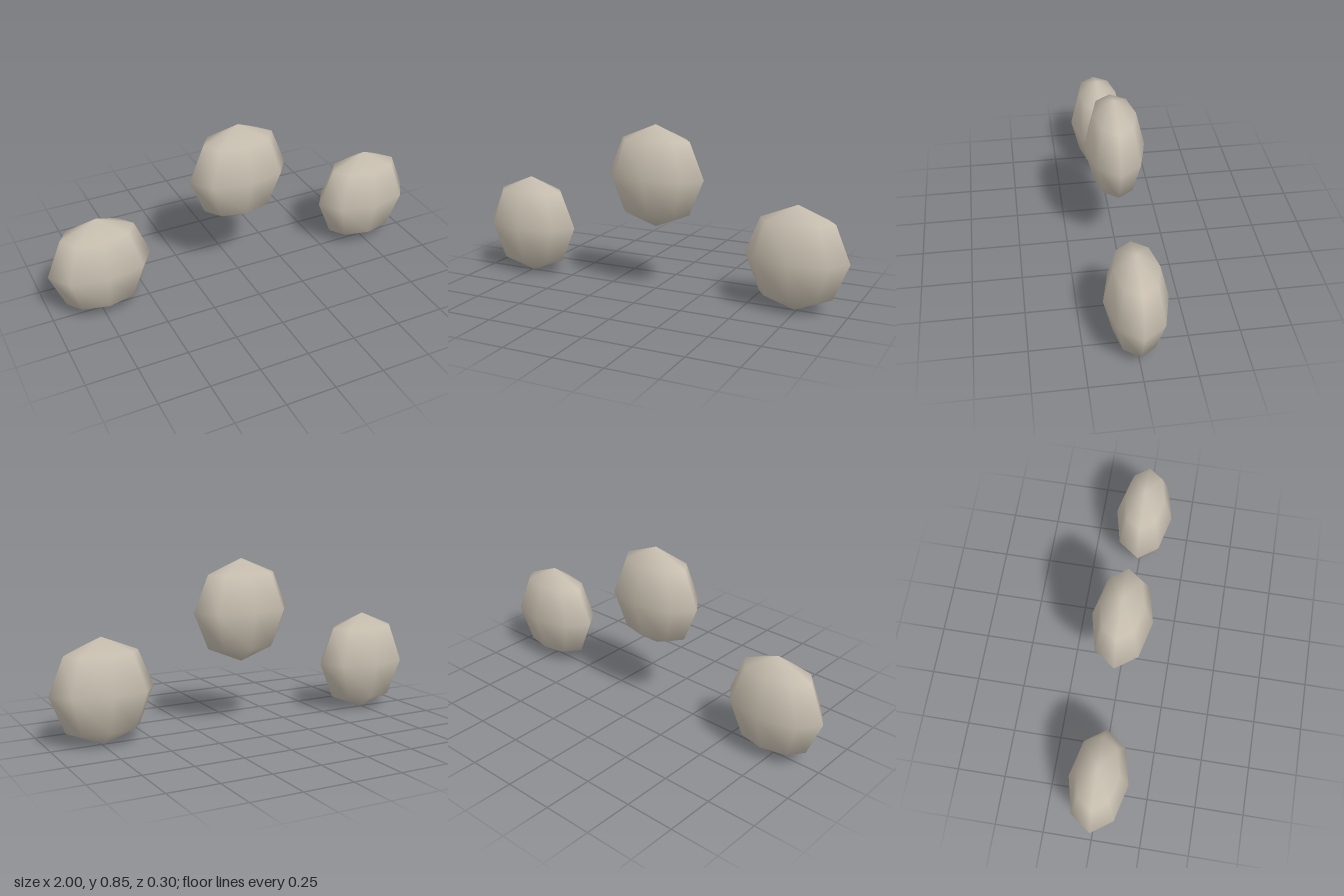
import * as THREE from 'three';

export function createModel() {
  const group = new THREE.Group();
  group.name = 'pebbles';

  const stone = new THREE.MeshStandardMaterial({ color: 0xc8bfb0 });
  stone.name = 'warm grey stone';

  // Coarse smooth-shaded sphere flattened front to back, poles up and down
  const pebble = new THREE.SphereGeometry(1, 8, 4);

  const places = [
    ['rightPebble', -0.74, 0.26],
    ['middlePebble', 0, 0.59],
    ['leftPebble', 0.74, 0.26],
  ];
  for (const [name, x, y] of places) {
    const mesh = new THREE.Mesh(pebble, stone);
    mesh.name = name;
    mesh.scale.set(0.26, 0.26, 0.15);
    mesh.position.set(x, y, 0);
    group.add(mesh);
  }
  return group;
}
